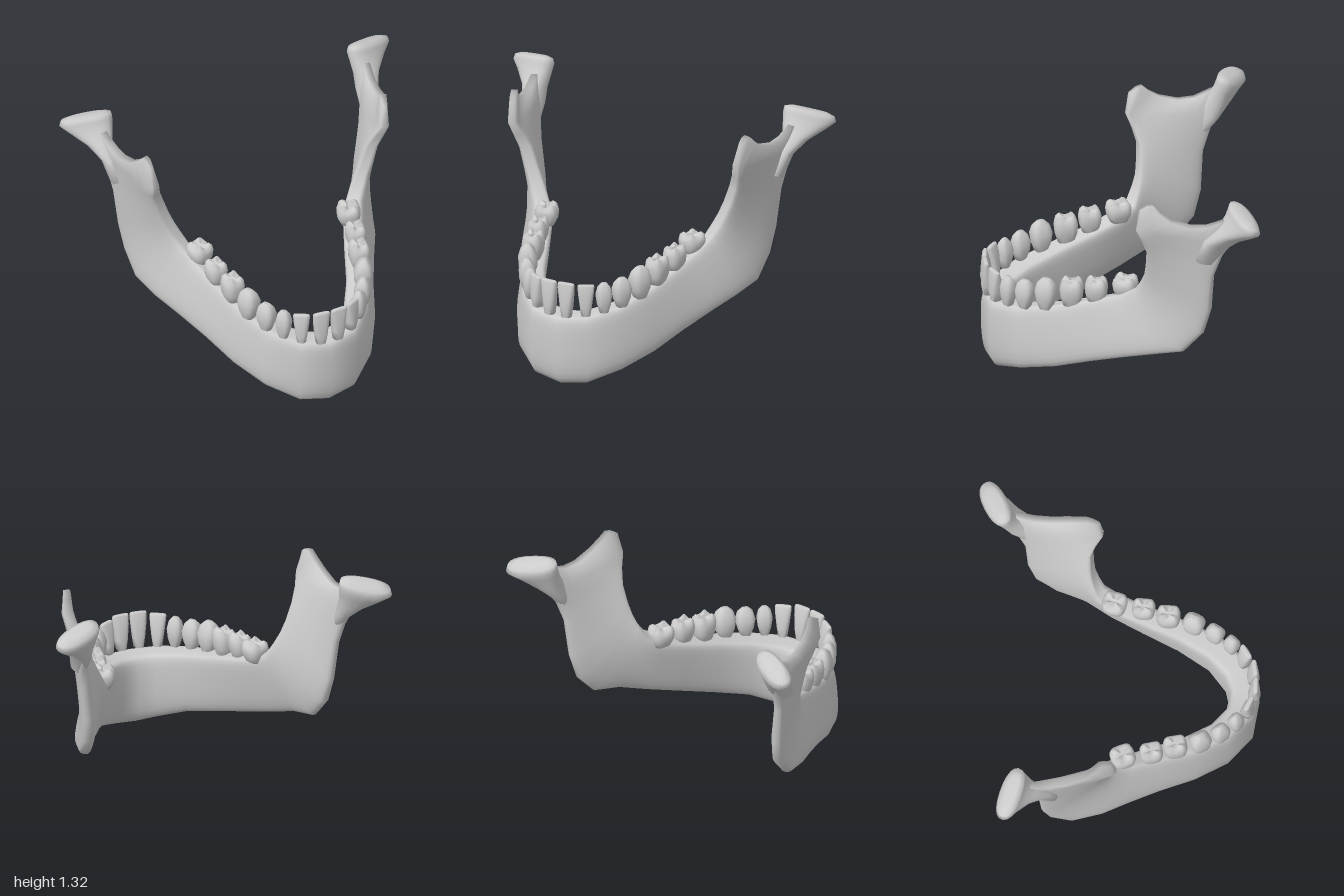
import * as THREE from 'three';

const V = (x, y, z) => new THREE.Vector3(x, y, z);
const spow = (v, p) => Math.sign(v) * Math.abs(v) ** p;
const material = new THREE.MeshStandardMaterial({ color: 0xcccccc });

// Closed skin over equal-sized rings of points, with a strip cap on both ends
function loft(rings) {
  const n = rings[0].length, last = (rings.length - 1) * n, index = [];
  const quad = (a, b, c, d) => index.push(a, b, c, a, c, d);
  for (let i = 0; i < rings.length - 1; i++)
    for (let k = 0; k < n; k++) {
      const k2 = (k + 1) % n;
      quad(i * n + k, i * n + k2, (i + 1) * n + k2, (i + 1) * n + k);
    }
  for (let k = 0; k < n / 2; k++) {
    const far = (n - k) % n, far2 = n - k - 1;
    quad(last + k, last + k + 1, last + far2, last + far);
    quad(far, far2, k + 1, k);
  }
  const geometry = new THREE.BufferGeometry().setFromPoints(rings.flat());
  geometry.setIndex(index);
  geometry.computeVertexNormals();
  return geometry;
}

function part(name, geometry) {
  const mesh = new THREE.Mesh(geometry, material);
  mesh.name = name;
  return mesh;
}

// Jaw sections from chin to ramus: thickness, then upper/front edge to lower/rear edge
const SECTIONS = [
  [0.17, [0, 0.41, 0.665], [0, 0, 0.66]],
  [0.17, [0.13, 0.42, 0.63], [0.14, 0.018, 0.635]],
  [0.155, [0.25, 0.45, 0.51], [0.28, 0.075, 0.52]],
  [0.14, [0.34, 0.5, 0.33], [0.39, 0.135, 0.34]],
  [0.13, [0.41, 0.565, 0.13], [0.475, 0.205, 0.15]],
  [0.125, [0.465, 0.62, -0.02], [0.565, 0.27, -0.03]],
  [0.115, [0.51, 0.68, -0.105], [0.645, 0.325, -0.18]],
  [0.11, [0.55, 0.75, -0.13], [0.69, 0.365, -0.35]],
  [0.1, [0.58, 0.81, -0.145], [0.71, 0.49, -0.46]],
  [0.095, [0.61, 0.88, -0.15], [0.73, 0.64, -0.5]],
  [0.085, [0.645, 0.98, -0.15], [0.755, 0.87, -0.515]],
  [0.075, [0.675, 1.06, -0.12], [0.775, 1.0, -0.56]],
  [0.07, [0.695, 1.14, -0.085], [0.79, 1.08, -0.61]],
  // Coronoid tip, notch and neck
  [0.045, [0.71, 1.26, -0.1], [0.722, 1.3, -0.17], [0.75, 1.235, -0.235], [0.77, 1.195, -0.33],
    [0.78, 1.18, -0.43], [0.79, 1.2, -0.5], [0.8, 1.23, -0.57], [0.81, 1.2, -0.63]],
];

function jawBone() {
  const N = 28;
  const edges = SECTIONS.map(([, ...pts]) => pts.map(p => V(...p)));
  const centres = edges.map(e => e[0].clone().add(e.at(-1)).multiplyScalar(0.5));
  const half = SECTIONS.map(([thick], i) => {
    const along = i === 0 ? V(1, 0, 0)
      : centres[Math.min(i + 1, centres.length - 1)].clone().sub(centres[i - 1]);
    const outward = edges[i].at(-1).clone().sub(edges[i][0]).cross(along).normalize();
    const curve = new THREE.CatmullRomCurve3(edges[i]);
    return Array.from({ length: N }, (_, k) => {
      const a = k / N * Math.PI * 2;
      const v = THREE.MathUtils.clamp((1 - spow(Math.cos(a), 0.8)) / 2, 0, 1);
      return curve.getPoint(v).addScaledVector(outward, thick / 2 * spow(Math.sin(a), 0.65));
    });
  });
  const mirrored = half.slice(1).reverse().map(r => r.map(p => V(-p.x, p.y, p.z)));
  return loft([...mirrored, ...half]);
}

// Condyle: neck flaring into a head wide across the jaw; x, y, z, half length, half width
function condyle() {
  const d = V(0.93, 0, -0.36), p = V(-0.36, 0, -0.93);
  return loft([
    [0.77, 0.96, -0.46, 0.03, 0.05],
    [0.785, 1.08, -0.53, 0.042, 0.075],
    [0.81, 1.15, -0.595, 0.072, 0.065],
    [0.84, 1.215, -0.65, 0.122, 0.06],
    [0.858, 1.255, -0.677, 0.148, 0.066],
    [0.857, 1.285, -0.677, 0.14, 0.058],
    [0.855, 1.3, -0.675, 0.1, 0.032],
  ].map(([x, y, z, a, b]) => Array.from({ length: 20 }, (_, k) => {
    const t = k / 20 * Math.PI * 2;
    const u = a * spow(Math.cos(t), 0.85), w = b * spow(Math.sin(t), 0.85);
    return V(x, y - 0.2 * u - 0.3 * w, z).addScaledVector(d, u).addScaledVector(p, w);
  })));
}

// Crown profiles: height fraction, width scale, depth scale, forward lean
const CROWNS = {
  incisor: [[0, 0.55, 0.8, -0.1], [0.3, 0.72, 1, 0], [0.7, 0.92, 0.75, 0.1], [0.95, 1, 0.45, 0.25], [1, 0.92, 0.3, 0.25]],
  canine: [[0, 0.55, 0.6, 0], [0.3, 0.85, 0.95, 0], [0.6, 1, 1, 0], [0.85, 0.8, 0.7, 0.05], [1, 0.35, 0.3, 0.05]],
  molar: [[0, 0.7, 0.65, 0], [0.35, 0.93, 0.95, 0], [0.65, 1, 1, 0], [0.88, 0.92, 0.88, 0], [1, 0.68, 0.62, 0], [0.9, 0.25, 0.2, 0]],
};

function tooth(kind, w, d, h) {
  const N = 20;
  return loft(CROWNS[kind].map(([f, sx, sz, lean]) => Array.from({ length: N }, (_, k) => {
    const t = k / N * Math.PI * 2;
    const cusp = kind === 'molar' && f > 0.8 ? -0.009 * Math.cos(4 * t) : 0;
    return V(w / 2 * sx * spow(Math.sin(t), 0.7), f * h + cusp,
      d / 2 * (sz * spow(Math.cos(t), 0.7) + lean));
  })));
}

// Teeth of one side: name, crown, x, z, base y, top y, width, depth, yaw
const TEETH = [
  ['centralIncisor', 'incisor', 0.052, 0.715, 0.42, 0.625, 0.1, 0.07, 0.08],
  ['lateralIncisor', 'incisor', 0.15, 0.672, 0.43, 0.615, 0.095, 0.075, 0.5],
  ['canine', 'canine', 0.228, 0.605, 0.44, 0.615, 0.09, 0.085, 0.75],
  ['firstPremolar', 'canine', 0.293, 0.515, 0.455, 0.625, 0.11, 0.095, 0.95],
  ['secondPremolar', 'canine', 0.348, 0.4, 0.475, 0.66, 0.125, 0.11, 1.1],
  ['firstMolar', 'molar', 0.385, 0.26, 0.515, 0.668, 0.135, 0.12, 1.45],
  ['secondMolar', 'molar', 0.425, 0.125, 0.555, 0.69, 0.13, 0.115, 1.42],
  ['thirdMolar', 'molar', 0.452, -0.035, 0.6, 0.715, 0.14, 0.135, 1.25],
];

export function createModel() {
  const model = new THREE.Group();
  model.name = 'lowerJaw';
  model.add(part('jawBone', jawBone()));
  for (const [side, s] of [['left', 1], ['right', -1]]) {
    const half = new THREE.Group();
    half.name = side + 'Side';
    half.scale.x = s;
    half.add(part(side + 'Condyle', condyle()));
    for (const [name, kind, x, z, y0, y1, w, d, yaw] of TEETH) {
      const mesh = part(`${side} ${name}`, tooth(kind, w, d, y1 - y0));
      mesh.position.set(x, y0, z);
      mesh.rotation.y = yaw;
      half.add(mesh);
    }
    model.add(half);
  }
  return model;
}
